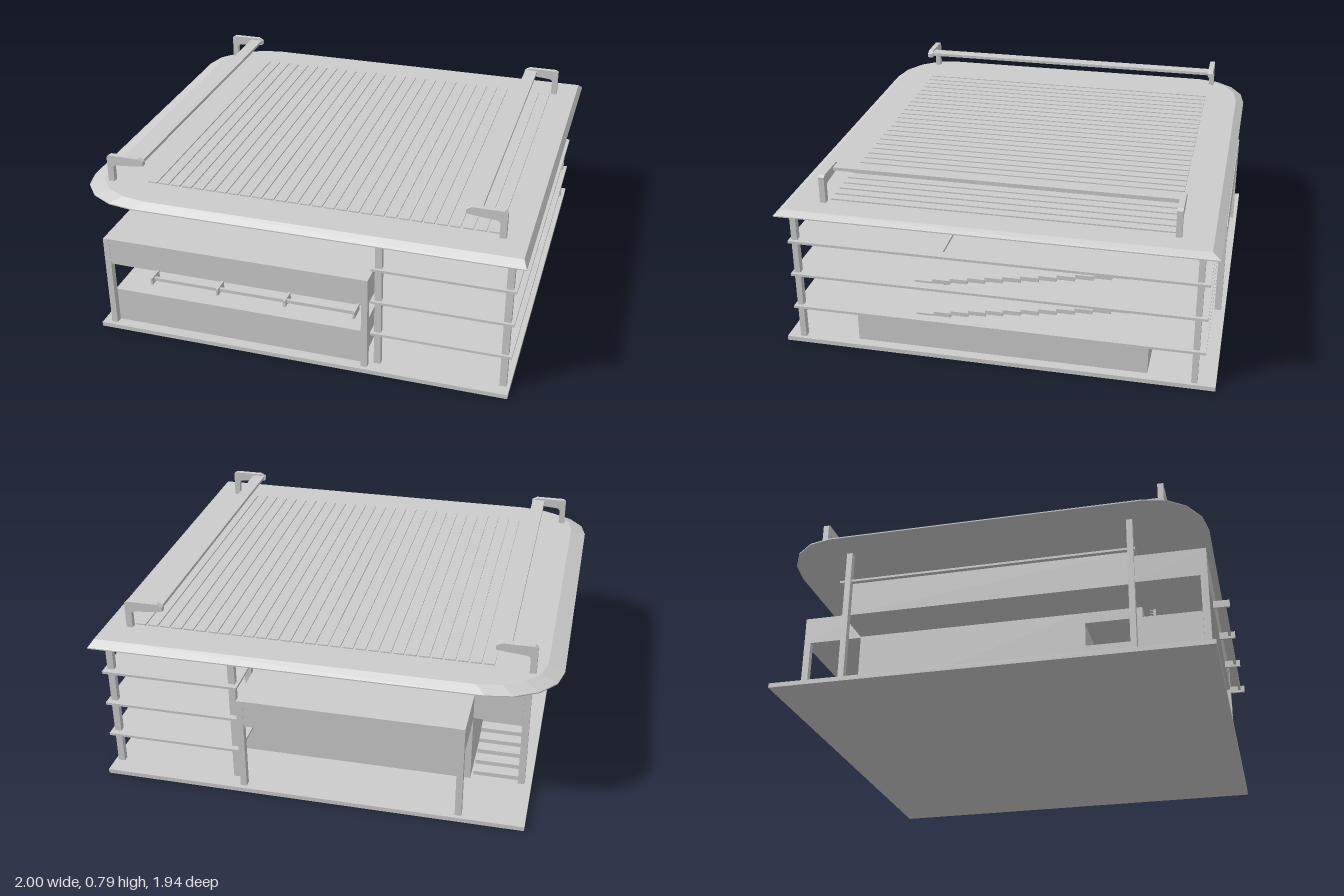
import * as THREE from 'three';

export function createModel() {
  const model = new THREE.Group();
  const grey = new THREE.MeshStandardMaterial({ color: 0xcccccc });
  grey.name = 'light grey';

  const add = (name, geometry, parent = model) => {
    const mesh = new THREE.Mesh(geometry, grey);
    mesh.name = name;
    parent.add(mesh);
    return mesh;
  };
  // Box given by its limits on each axis
  const box = (name, x0, x1, y0, y1, z0, z1, parent) => {
    const mesh = add(name, new THREE.BoxGeometry(x1 - x0, y1 - y0, z1 - z0), parent);
    mesh.position.set((x0 + x1) / 2, (y0 + y1) / 2, (z0 + z1) / 2);
    return mesh;
  };
  const group = (name) => {
    const g = new THREE.Group();
    g.name = name;
    model.add(g);
    return g;
  };

  box('basePlate', -0.9, 0.965, 0, 0.02, -0.97, 0.92);

  // Ground floor and inner core, stepped around the open passage
  box('groundHall', 0.35, 0.92, 0.02, 0.178, -0.68, 0.6);
  box('core', -0.63, 0.35, 0.02, 0.345, -0.68, 0.35);
  box('corePlinth', -0.63, 0.35, 0.02, 0.182, 0.35, 0.6);
  box('coreLintel', -0.63, 0.35, 0.29, 0.345, 0.35, 0.6);
  box('upperHall', -0.84, 0.35, 0.34, 0.496, -0.68, 0.6);
  box('upperFloor', -0.86, 0.36, 0.494, 0.504, -0.7, 0.61);

  // Front and back wings with their end posts
  box('frontParapet', -0.84, 0.32, 0.02, 0.182, 0.6, 0.87);
  box('frontCanopy', -0.86, 0.35, 0.335, 0.46, 0.6, 0.9);
  box('backCanopy', -0.63, 0.35, 0.335, 0.46, -0.95, -0.68);
  for (const x of [-0.86, 0.322]) box('frontPost', x, x + 0.028, 0.02, 0.46, 0.872, 0.902);
  for (const x of [-0.63, 0.322]) box('backPost', x, x + 0.028, 0.02, 0.46, -0.952, -0.922);

  // Floor slabs of the open bay, with stair wells above the flights
  [0.172, 0.334, 0.494].forEach((y, level) => {
    const s = new THREE.Shape([[0.355, -0.875], [0.965, -0.875], [0.965, 0.92], [0.355, 0.92]]
      .map(([x, z]) => new THREE.Vector2(x, z)));
    if (level > 0) {
      s.holes.push(new THREE.Path([[0.66, -0.2], [0.66, 0.66], [0.92, 0.66], [0.92, -0.2]]
        .map(([x, z]) => new THREE.Vector2(x, z))));
    }
    const slab = add('baySlab', new THREE.ExtrudeGeometry(s, { depth: 0.011, bevelEnabled: false }));
    slab.rotation.x = -Math.PI / 2;
    slab.position.y = y;
  });
  box('bayBackPanel', 0.35, 0.66, 0.183, 0.334, -0.68, -0.66);
  box('bayBackBeam', 0.35, 0.64, 0.46, 0.494, -0.68, -0.66);
  box('bayRail', 0.4, 0.65, 0.266, 0.272, -0.66, -0.655);

  // Columns carrying the roof
  for (const [x, z] of [[-0.855, 0.59], [-0.855, -0.66], [0.385, 0.85], [0.385, -0.66],
    [0.385, -0.88], [0.935, 0.85], [0.935, -0.88]]) {
    box('column', x - 0.015, x + 0.015, 0.02, 0.64, z - 0.013, z + 0.013);
  }

  // Two shallow flights in the bay
  for (const y of [0.18, 0.342]) {
    const flight = group('bayStair');
    const n = 13, depth = 1.0 / n, rise = 0.155 / n;
    for (let i = 0; i < n; i++) {
      const z = 0.33 - i * depth;
      box('step', 0.66, 0.92, y + (i - 0.6) * rise, y + (i + 1) * rise, z - depth, z, flight);
    }
  }

  // Side stair, folded from treads and risers
  const sideStair = group('sideStair');
  const steps = 16, depth = 0.9 / steps, rise = 0.32 / steps;
  for (let i = 0; i < steps; i++) {
    const z = -0.65 + i * depth, y = 0.02 + i * rise;
    const riser = add('riser', new THREE.PlaneGeometry(0.2, rise), sideStair);
    riser.rotation.y = Math.PI;
    riser.position.set(-0.74, y + rise / 2, z);
    const tread = add('tread', new THREE.PlaneGeometry(0.2, depth), sideStair);
    tread.rotation.x = -Math.PI / 2;
    tread.position.set(-0.74, y + rise, z + depth / 2);
  }

  // Louvred window and the awning bar in front of it
  const louvres = group('louvres');
  for (let i = 0; i < 11; i++) {
    const slat = box('slat', -0.61, 0.31, 0, 0.003, 0.63, 0.646, louvres);
    slat.position.y = 0.193 + i * 0.0135;
    slat.rotation.x = 0.5;
  }
  const awning = group('awning');
  box('awningBar', -0.61, 0.315, 0.32, 0.335, 0.94, 0.952, awning);
  for (const x of [-0.605, -0.3, 0.005, 0.31]) {
    box('awningArm', x - 0.005, x + 0.005, 0.31, 0.342, 0.9, 0.97, awning);
    box('mullion', x - 0.005, x + 0.005, 0.185, 0.335, 0.645, 0.655, louvres);
  }

  // Roof: lower outline and smaller upper outline, rounded on the right-hand corners
  const outline = (x0, x1, z0, z1, rx, rz) => {
    const p = [[x1, z0], [x1, z1]];
    for (let i = 0; i <= 4; i++) {
      const a = i * Math.PI / 8;
      p.push([x0 + rx * (1 - Math.sin(a)), z1 - rz * (1 - Math.cos(a))]);
    }
    for (let i = 0; i <= 4; i++) {
      const a = i * Math.PI / 8;
      p.push([x0 + rx * (1 - Math.cos(a)), z0 + rz * (1 - Math.sin(a))]);
    }
    return p;
  };
  const low = outline(-1, 1, -0.955, 0.912, 0.3, 0.25);
  const high = outline(-0.93, 0.983, -0.918, 0.876, 0.27, 0.22);
  const loops = [[low, 0.635], [low, 0.64], [high, 0.665]]
    .map(([p, y]) => p.map(([x, z]) => [x, y, z]));
  const pos = [];
  const n = low.length;
  for (let k = 0; k < 2; k++) {
    for (let i = 0; i < n; i++) {
      const j = (i + 1) % n;
      const [a, b, c, d] = [loops[k][i], loops[k][j], loops[k + 1][j], loops[k + 1][i]];
      pos.push(...a, ...c, ...b, ...a, ...d, ...c);
    }
  }
  for (let i = 1; i < n - 1; i++) {
    pos.push(...loops[0][0], ...loops[0][i], ...loops[0][i + 1]);
    pos.push(...loops[2][0], ...loops[2][i + 1], ...loops[2][i]);
  }
  // The outline runs clockwise from above, so every triangle is turned outward
  for (let t = 0; t < pos.length; t += 9) {
    const v = [0, 3, 6].map((o) => new THREE.Vector3(pos[t + o], pos[t + o + 1], pos[t + o + 2]));
    const normal = v[1].clone().sub(v[0]).cross(v[2].clone().sub(v[0]));
    const out = v[0].clone().add(v[1]).add(v[2]).divideScalar(3).sub(new THREE.Vector3(0, 0.648, 0));
    if (normal.dot(out) < 0) {
      for (let o = 0; o < 3; o++) [pos[t + 3 + o], pos[t + 6 + o]] = [pos[t + 6 + o], pos[t + 3 + o]];
    }
  }
  const roof = new THREE.BufferGeometry();
  roof.setAttribute('position', new THREE.Float32BufferAttribute(pos, 3));
  roof.computeVertexNormals();
  add('roof', roof);

  // Roof panels with narrow gaps
  const panels = group('roofPanels');
  for (let i = 0; i < 29; i++) {
    const x = -0.715 + i * 0.0545;
    box('roofPanel', x, x + 0.044, 0.664, 0.671, -0.76, 0.71, panels);
  }

  // Hooked brackets and the rails between them
  for (const side of [-1, 1]) {
    const rig = group('roofRail');
    const hook = new THREE.Shape([[0.86, 0.66], [0.888, 0.66], [0.888, 0.782], [0.875, 0.79],
      [0.74, 0.79], [0.717, 0.777], [0.717, 0.758], [0.79, 0.75], [0.85, 0.745], [0.86, 0.735]]
      .map(([x, y]) => new THREE.Vector2(side * x, y)));
    for (const z of [-0.788, 0.718]) {
      const bracket = add('bracket', new THREE.ExtrudeGeometry(hook, { depth: 0.025, bevelEnabled: false }), rig);
      bracket.position.z = z;
    }
    const x = side * 0.75;
    box('rail', x - 0.03, x + 0.03, 0.768, 0.782, -0.765, 0.72, rig);
  }
  return model;
}
